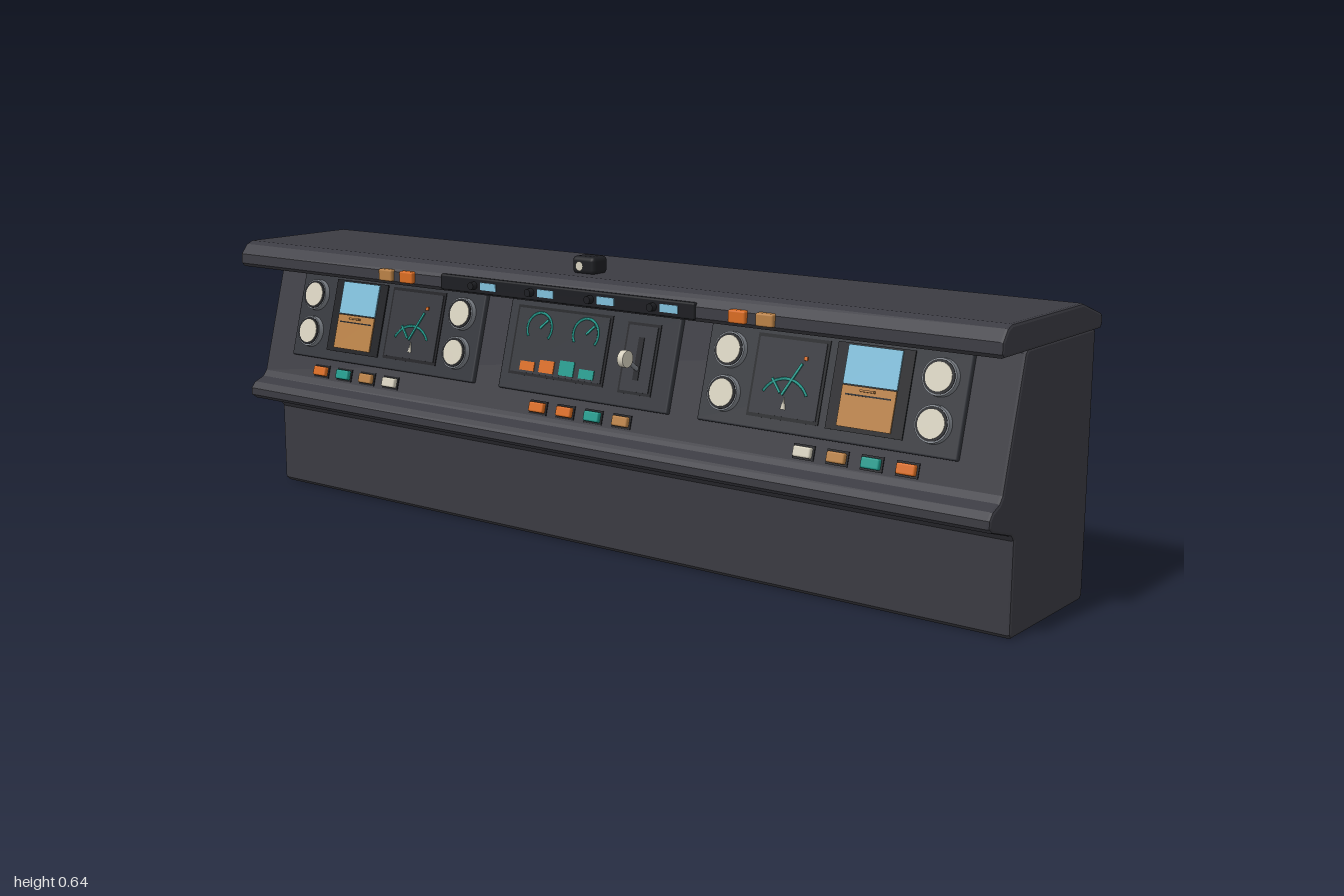
import * as THREE from 'three';
import { RoundedBoxGeometry } from 'three/addons/geometries/RoundedBoxGeometry.js';

const mat = (name, color) => Object.assign(new THREE.MeshStandardMaterial({ color }), { name });

export function createModel() {
  const M = {
    body: mat('charcoal', 0x3b3b42),
    panel: mat('panelGrey', 0x33353b),
    black: mat('black', 0x1d1e22),
    grey: mat('metalGrey', 0x80858c),
    cream: mat('cream', 0xd6d0be),
    orange: mat('orange', 0xd96c22),
    tan: mat('tan', 0xb98146),
    blue: mat('skyBlue', 0x80bfdb),
    teal: mat('teal', 0x1f9a8c),
  };
  const model = new THREE.Group();
  model.name = 'instrumentConsole';

  const add = (parent, name, geo, material, x = 0, y = 0, z = 0) => {
    const m = new THREE.Mesh(geo, material);
    m.name = name;
    m.position.set(x, y, z);
    parent.add(m);
    return m;
  };
  const box = (parent, name, w, h, d, material, x, y, z) =>
    add(parent, name, new THREE.BoxGeometry(w, h, d), material, x, y, z);
  const rounded = (parent, name, w, h, d, material, x, y, z, r = 0.004) =>
    add(parent, name, new RoundedBoxGeometry(w, h, d, 2, r), material, x, y, z);

  // Side profiles given as [z, y], extruded across the width with bevelled ends
  const profile = (name, points, width) => {
    const b = 0.006;
    const geo = new THREE.ExtrudeGeometry(new THREE.Shape(points.map(p => new THREE.Vector2(...p))), {
      depth: width - 2 * b, bevelThickness: b, bevelSize: b, bevelOffset: -b, bevelSegments: 2,
    });
    geo.rotateY(-Math.PI / 2).translate(width / 2 - b, 0, 0);
    add(model, name, geo, M.body);
  };
  profile('consoleBody', [
    [-0.212, 0], [0.09, 0], [0.098, 0.008], [0.098, 0.19], [0.107, 0.201], [0.185, 0.224], [0.199, 0.234],
    [0.199, 0.25], [0.187, 0.264], [0.161, 0.274], [0.15, 0.287], [0.08, 0.538], [0.07, 0.546],
    [-0.214, 0.546], [-0.221, 0.538], [-0.221, 0.008],
  ], 1.974);
  profile('glareshield', [
    [-0.214, 0.546], [0.194, 0.546], [0.202, 0.554], [0.201, 0.576], [0.184, 0.598], [0.168, 0.605],
    [-0.13, 0.605], [-0.214, 0.577], [-0.221, 0.57], [-0.221, 0.554],
  ], 2);

  // Sloping panel frame: local y runs up the slope, local z points out of it
  const slope = new THREE.Group();
  slope.name = 'slopingPanel';
  slope.position.set(0, 0.285, 0.15);
  slope.rotation.x = -0.27;
  model.add(slope);
  const L = y => (y - 0.289) / 0.964;
  const plateH = 0.2, face = 0.012;
  const facing = geo => geo.rotateX(Math.PI / 2);

  const arc = (name, x, y, r, from, to) => {
    const geo = new THREE.TorusGeometry(r, 0.003, 4, 20, to - from).rotateZ(from);
    add(slope, name, geo, M.teal, x, L(y), face + 0.006);
  };
  const needle = (name, x, y, len, angle, material) => {
    box(slope, name, 0.005, len, 0.003, material, x, L(y), face + 0.007).rotation.z = angle;
  };

  const dial = (x, y) => {
    add(slope, 'dialBezel', facing(new THREE.CylinderGeometry(0.036, 0.038, 0.024, 24)), M.grey, x, L(y), 0.012);
    add(slope, 'dialRing', facing(new THREE.CylinderGeometry(0.033, 0.033, 0.002, 24)), M.black, x, L(y), 0.0245);
    add(slope, 'dialFace', facing(new THREE.CylinderGeometry(0.028, 0.028, 0.003, 24)), M.cream, x, L(y), 0.0255);
  };

  // Two mirrored pilot panels
  for (const s of [-1, 1]) {
    rounded(slope, 'pilotPanel', 0.584, plateH, 0.024, M.panel, s * 0.598, L(0.434), 0);
    for (const x of [0.364, 0.834]) for (const y of [0.396, 0.481]) dial(s * x, y);

    // Attitude display
    const ax = s * 0.69;
    box(slope, 'attitudeBezel', 0.168, 0.17, 0.006, M.black, ax, L(0.441), face);
    box(slope, 'attitudeSky', 0.118, 0.076, 0.004, M.blue, ax, L(0.483), face + 0.004);
    box(slope, 'attitudeGround', 0.118, 0.08, 0.004, M.tan, ax, L(0.406), face + 0.004);
    box(slope, 'attitudeScaleLine', 0.1, 0.003, 0.002, M.black, ax, L(0.428), face + 0.006);
    box(slope, 'attitudePointer', 0.03, 0.004, 0.012, M.tan, ax, L(0.437), face + 0.009);

    // Navigation display
    const nx = s * 0.506;
    box(slope, 'navigationBezel', 0.166, 0.166, 0.004, M.black, nx, L(0.441), face);
    box(slope, 'navigationScreen', 0.154, 0.152, 0.004, M.panel, nx, L(0.441), face + 0.002);
    arc('headingArc', nx, 0.385, 0.057, Math.PI * 0.16, Math.PI * 0.84);
    needle('courseNeedle', nx + 0.012, 0.44, 0.075, -0.5, M.teal);
    needle('courseTail', nx - 0.022, 0.425, 0.035, 0.7, M.teal);
    box(slope, 'trafficMark', 0.008, 0.008, 0.003, M.orange, nx + 0.036, L(0.482), face + 0.006);
    add(slope, 'positionMarker', new THREE.ConeGeometry(0.01, 0.026, 3), M.cream, nx, L(0.394), face + 0.004).scale.z = 0.4;

    // Warning lights on the glareshield edge
    rounded(model, 'warningLight', 0.04, 0.026, 0.02, M.tan, s * 0.506, 0.567, 0.202);
    rounded(model, 'cautionLight', 0.04, 0.026, 0.02, M.orange, s * 0.442, 0.567, 0.202);
  }

  // Centre panel with engine display
  rounded(slope, 'centrePanel', 0.46, plateH, 0.024, M.panel, 0, L(0.434), 0);
  box(slope, 'engineBezel', 0.262, 0.152, 0.004, M.black, -0.074, L(0.444), face);
  box(slope, 'engineScreen', 0.25, 0.14, 0.004, M.panel, -0.074, L(0.444), face + 0.002);
  for (const x of [-0.134, -0.006]) {
    arc('engineGauge', x, 0.472, 0.034, -Math.PI * 0.2, Math.PI * 1.2);
    needle('engineNeedle', x + 0.012, 0.482, 0.028, -0.8, M.teal);
  }
  [[-0.152, 0.02, M.orange], [-0.098, 0.027, M.orange], [-0.043, 0.032, M.teal], [0.012, 0.02, M.teal]]
    .forEach(([x, h, m]) => box(slope, 'statusBar', 0.04, h, 0.004, m, x, L(0.381 + h / 2), face + 0.004));

  // Landing gear lever
  box(slope, 'leverPlate', 0.086, 0.15, 0.004, M.black, 0.141, L(0.438), face);
  box(slope, 'leverInset', 0.074, 0.138, 0.004, M.panel, 0.141, L(0.438), face + 0.002);
  box(slope, 'leverSlot', 0.014, 0.09, 0.003, M.black, 0.141, L(0.438), face + 0.004);
  const shaft = add(model, 'leverShaft', new THREE.CylinderGeometry(0.005, 0.005, 0.07, 10), M.grey, 0.141, 0.426, 0.142);
  shaft.rotation.x = 0.98;
  add(model, 'leverWheel', new THREE.CylinderGeometry(0.018, 0.018, 0.014, 24).rotateZ(Math.PI / 2),
    M.cream, 0.141, 0.445, 0.17);

  // Lower button rows
  const rows = [
    [-0.675, [M.orange, M.teal, M.tan, M.cream]],
    [0, [M.orange, M.orange, M.teal, M.tan]],
    [0.675, [M.cream, M.tan, M.teal, M.orange]],
  ];
  for (const [cx, colours] of rows) colours.forEach((m, i) => {
    const x = cx + (i - 1.5) * 0.076;
    box(slope, 'buttonSurround', 0.048, 0.03, 0.004, M.black, x, L(0.309), 0.001);
    rounded(slope, 'button', 0.04, 0.022, 0.016, m, x, L(0.309), 0.006);
  });

  // Mode control strip on the glareshield edge
  rounded(model, 'modeStrip', 0.68, 0.034, 0.014, M.black, 0, 0.567, 0.2);
  for (let i = 0; i < 4; i++) {
    box(model, 'modeDisplay', 0.044, 0.016, 0.004, M.blue, -0.2 + i * 0.16, 0.567, 0.207);
    add(model, 'modeKnob', facing(new THREE.CylinderGeometry(0.008, 0.009, 0.018, 14)), M.black,
      -0.24 + i * 0.16, 0.567, 0.211);
  }

  // Standby compass on top
  rounded(model, 'compassHousing', 0.06, 0.038, 0.05, M.black, 0, 0.622, 0.109, 0.01);
  add(model, 'compassCard', new THREE.ConeGeometry(0.01, 0.01, 16).rotateX(-Math.PI / 2), M.cream, 0, 0.622, 0.14);

  return model;
}
